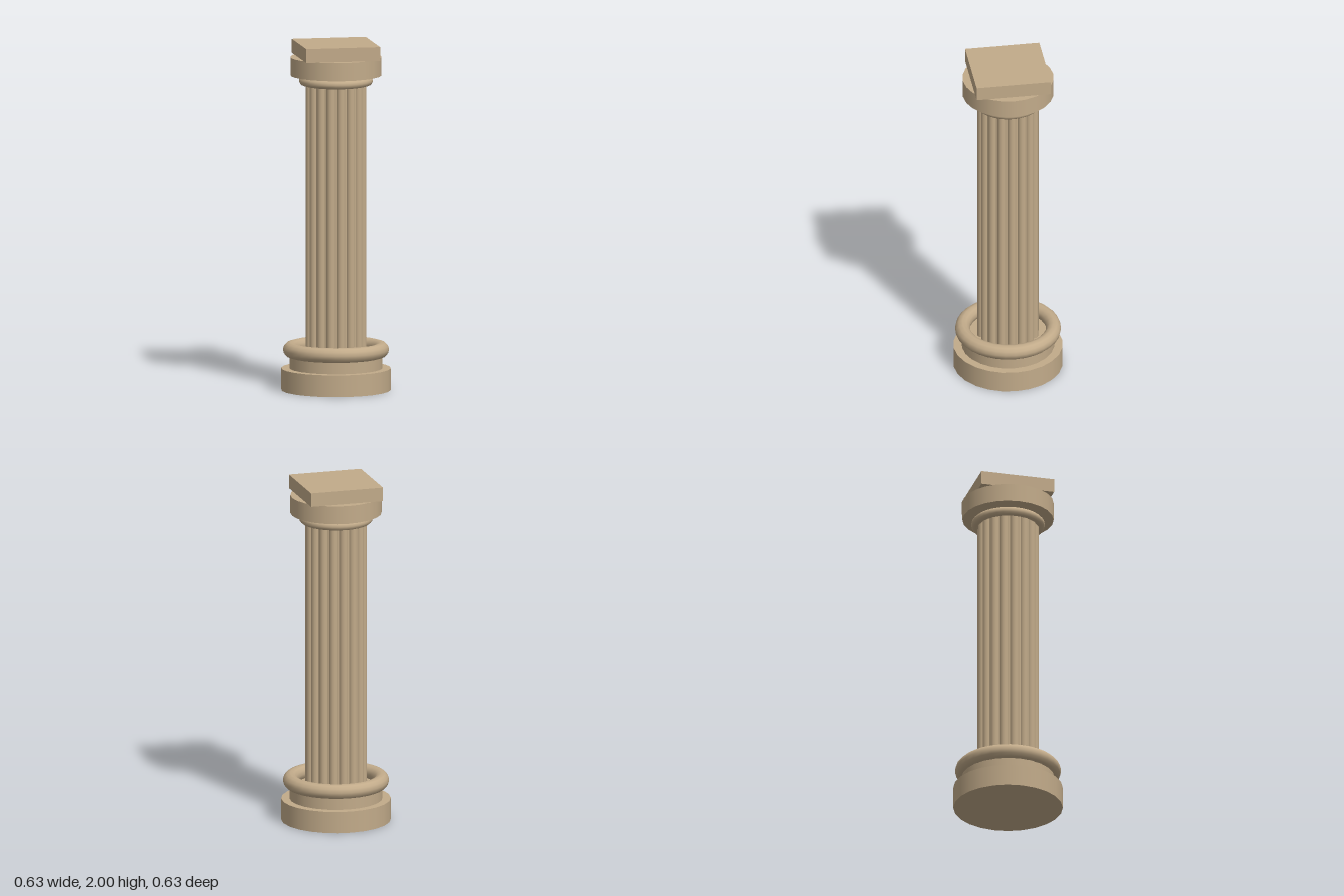
import * as THREE from 'three';

const SIDES = 24;

export function createModel() {
  const column = new THREE.Group();
  column.name = 'column';
  const stone = new THREE.MeshStandardMaterial({ color: 0xc2ab8a });

  const add = (name, geometry, y, parent = column) => {
    const mesh = new THREE.Mesh(geometry, stone);
    mesh.name = name;
    mesh.position.y = y;
    parent.add(mesh);
    return mesh;
  };

  // Round drum from y0 to y1
  const drum = (name, radius, y0, y1, sides = SIDES, parent = column) =>
    add(name, new THREE.CylinderGeometry(radius, radius, y1 - y0, sides), (y0 + y1) / 2, parent);

  // Horizontal rounded moulding
  const ring = (name, radius, tube, y) =>
    add(name, new THREE.TorusGeometry(radius, tube, 12, 32).rotateX(Math.PI / 2), y);

  // Base
  drum('plinth', 0.314, 0, 0.125);
  drum('baseDrum', 0.267, 0.125, 0.2);
  ring('baseMoulding', 0.261, 0.043, 0.232);

  // Shaft: a core ringed by slender round ribs
  const shaft = new THREE.Group();
  shaft.name = 'shaft';
  column.add(shaft);
  drum('shaftCore', 0.157, 0.19, 1.82, 32, shaft);
  const ribs = 16;
  for (let i = 0; i < ribs; i++) {
    const angle = (i / ribs) * Math.PI * 2;
    const rib = drum('shaftRib', 0.026, 0.19, 1.82, 12, shaft);
    rib.position.x = Math.sin(angle) * 0.152;
    rib.position.z = Math.cos(angle) * 0.152;
  }

  // Capital
  ring('neckMoulding', 0.187, 0.025, 1.783);
  drum('capitalDrum', 0.262, 1.815, 1.92);
  add('abacus', new THREE.BoxGeometry(0.432, 0.08, 0.432), 1.96);

  return column;
}
